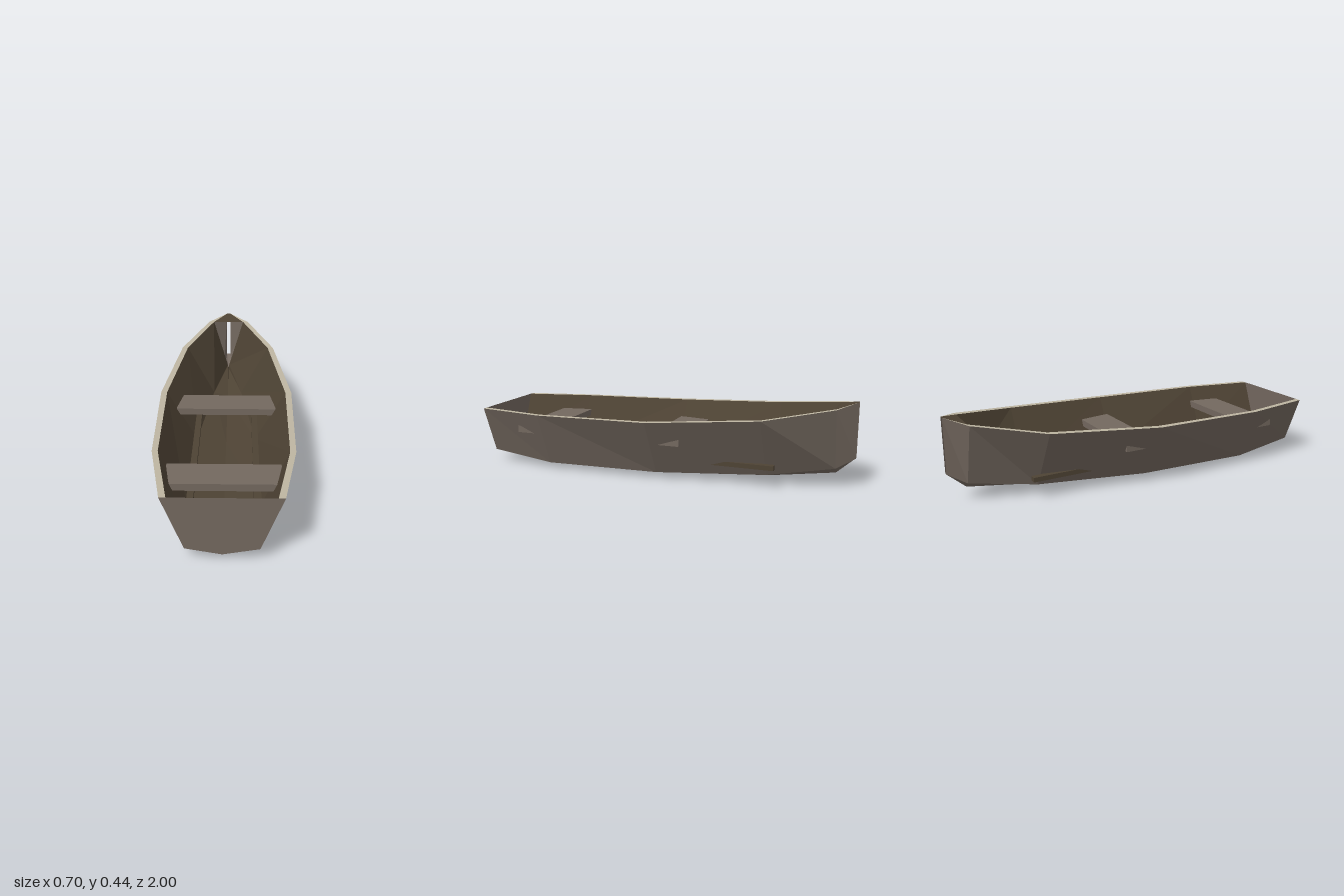
import * as THREE from 'three';

const mat = (name, color, side = THREE.FrontSide) => {
  const m = new THREE.MeshStandardMaterial({ color, side, flatShading: true });
  m.name = name;
  return m;
};

// Hull stations: z, gunwale x, gunwale y, chine x, chine y, keel y, inner gunwale x, inner chine x
const stations = [
  [1.0, 0.262, 0.32, 0.163, 0.063, 0.033, 0.232, 0.133],
  [0.62, 0.332, 0.322, 0.212, 0.033, 0.002, 0.304, 0.182],
  [0.0, 0.35, 0.334, 0.188, 0.035, 0.004, 0.318, 0.16],
  [-0.57, 0.275, 0.37, 0.1, 0.055, 0.025, 0.243, 0.085],
  [-0.905, 0.125, 0.42, 0.028, 0.102, 0.075, 0.094, 0.004],
  [-1.0, 0.012, 0.445, 0.011, 0.16, 0.16, 0.011, 0.01],
];

// Cross-section polylines from one gunwale to the other
const outer = stations.map(([z, gx, gy, cx, cy, ky]) =>
  [[gx, gy, z], [cx, cy, z], [0, ky, z], [-cx, cy, z], [-gx, gy, z]]);
const inner = stations.slice(0, 5).map(([z, , gy, , cy, ky, ix, jx]) =>
  [[ix, gy, z], [jx, cy + 0.015, z], [0, ky + 0.02, z], [-jx, cy + 0.015, z], [-ix, gy, z]]);

// Join successive rows of points into a faceted sheet
function sheet(rows) {
  const pos = [];
  for (let i = 0; i + 1 < rows.length; i++) {
    for (let j = 0; j + 1 < rows[i].length; j++) {
      const a = rows[i][j], b = rows[i][j + 1], c = rows[i + 1][j + 1], d = rows[i + 1][j];
      pos.push(...a, ...b, ...c, ...a, ...c, ...d);
    }
  }
  const g = new THREE.BufferGeometry();
  g.setAttribute('position', new THREE.Float32BufferAttribute(pos, 3));
  g.computeVertexNormals();
  return g;
}

export function createModel() {
  const model = new THREE.Group();
  model.name = 'rowingBoat';
  const wood = mat('greyWood', 0x73685f, THREE.DoubleSide);
  const brown = mat('darkBrownWood', 0x4e4334, THREE.DoubleSide);
  const trim = mat('paleTrim', 0xbdb5a1, THREE.DoubleSide);

  const add = (name, geometry, material) => {
    const mesh = new THREE.Mesh(geometry, material);
    mesh.name = name;
    model.add(mesh);
    return mesh;
  };

  // Planking outside and lining inside; the stem is left open
  add('outerHull', sheet(outer), wood);
  add('innerHull', sheet(inner), brown);

  // Transom as a fan split along the centre line
  const [zT, gx, gy, cx, cy, ky] = stations[0];
  add('transom', sheet([
    [[-gx, gy, zT], [0, gy, zT], [gx, gy, zT]],
    [[-cx, cy, zT], [0, ky, zT], [cx, cy, zT]],
  ]), wood);

  // Gunwale trim on both sides
  for (const s of [1, -1]) {
    const rows = stations.map(([z, ox, y, , , , ix]) => [[s * ox, y, z], [s * ix, y, z]]);
    add(s > 0 ? 'leftGunwale' : 'rightGunwale', sheet(rows), trim);
  }

  // Small foredeck at the bow
  add('bowDeck', sheet(stations.slice(4).map(([z, , y, , , , ix]) => [[-ix, y, z], [ix, y, z]])), brown);

  // Bench seats
  for (const [name, z] of [['frontSeat', 0.687], ['backSeat', -0.068]]) {
    add(name, new THREE.BoxGeometry(0.548, 0.036, 0.175), wood).position.set(0, 0.225, z);
  }

  // Long side rails above the floor
  for (const s of [1, -1]) {
    add(s > 0 ? 'leftRail' : 'rightRail', new THREE.BoxGeometry(0.032, 0.024, 1.43), brown)
      .position.set(s * 0.156, 0.112, 0.095);
  }
  return model;
}
